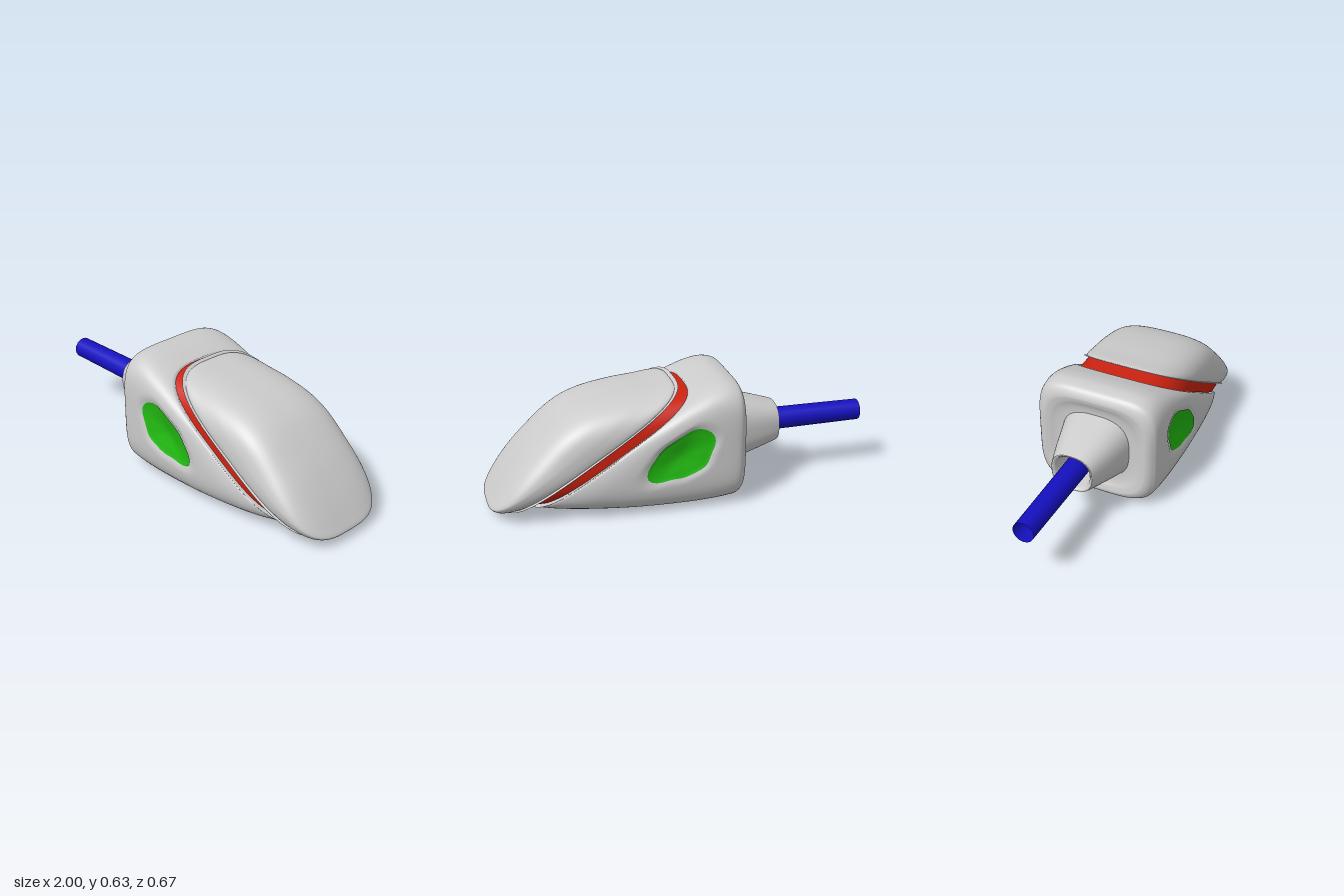
import * as THREE from 'three';

const SEG = 120;
const mat = (color = 0xcccccc) => new THREE.MeshStandardMaterial({ color, side: THREE.DoubleSide });

// Catmull-Rom blend of four numbers
const blend = (a, b, c, d, t) =>
  0.5 * (2 * b + (c - a) * t + (2 * a - 5 * b + 4 * c - d) * t * t + (3 * b - a - 3 * c + d) * t * t * t);

// Skin through slanted rounded-square rings.
// Station: [top x, top y, bottom x, bottom y, half width, squareness]
function loft(stations, sub, adjust = (p) => p) {
  const rings = [];
  const at = (i) => stations[Math.min(Math.max(i, 0), stations.length - 1)];
  for (let s = 0; s < stations.length - 1; s++) {
    for (let k = 0; k < sub; k++) {
      rings.push(at(s).map((v, q) => blend(at(s - 1)[q], v, at(s + 1)[q], at(s + 2)[q], k / sub)));
    }
  }
  rings.push(at(stations.length));

  const pos = [], index = [];
  rings.forEach(([xt, yt, xb, yb, w, n], i) => {
    for (let j = 0; j < SEG; j++) {
      const a = (j / SEG) * Math.PI * 2, c = Math.cos(a), s = Math.sin(a);
      const r = Math.pow(Math.abs(c) ** n + Math.abs(s) ** n, -1 / n);
      const u = c * r;
      const p = new THREE.Vector3((xt + xb) / 2 + (u * (xt - xb)) / 2, (yt + yb) / 2 + (u * (yt - yb)) / 2, w * s * r);
      pos.push(...adjust(p).toArray());
      if (i < rings.length - 1) {
        const A = i * SEG + j, B = i * SEG + ((j + 1) % SEG);
        index.push(A, B, A + SEG, B, B + SEG, A + SEG);
      }
    }
  });
  const g = new THREE.BufferGeometry();
  g.setAttribute('position', new THREE.Float32BufferAttribute(pos, 3));
  g.setIndex(index);
  g.computeVertexNormals();
  return g;
}

// Side window outline: radii every 30 degrees around its centre
const EYE = { x: 0.05, y: 0.31 };
const RADII = [0.15, 0.115, 0.1, 0.115, 0.16, 0.178, 0.137, 0.125, 0.108, 0.113, 0.136, 0.213];
function eyeRadius(a) {
  const f = ((a / (Math.PI * 2) + 2) % 1) * 12, i = Math.floor(f);
  const r = (k) => RADII[(i + k + 12) % 12];
  return blend(r(-1), r(0), r(1), r(2), f - i);
}
// Depth of the dished recess at relative radius r
const dish = (r) =>
  0.014 * (1 - THREE.MathUtils.smoothstep(r, 0.9, 1.22)) + 0.02 * (1 - THREE.MathUtils.smoothstep(r, 0, 1.1));

function dent(p) {
  if (Math.abs(p.z) < 0.3) return p;
  const dx = p.x - EYE.x, dy = p.y - EYE.y;
  p.z -= Math.sign(p.z) * dish(Math.hypot(dx, dy) / eyeRadius(Math.atan2(dy, dx)));
  return p;
}

// Dished window panel for one side
function windowPanel(side) {
  const rows = 10, cols = 60, pos = [], index = [];
  for (let i = 0; i <= rows; i++) {
    for (let j = 0; j < cols; j++) {
      const a = (j / cols) * Math.PI * 2, r = i / rows, R = eyeRadius(a) * r;
      const y = EYE.y + Math.sin(a) * R;
      const v = Math.abs(y - 0.32) / 0.31;
      const z = 0.334 * Math.pow(1 - v ** 4.7, 1 / 4.7) - dish(r) + 0.004;
      pos.push(EYE.x + Math.cos(a) * R, y, z * side);
      if (i < rows) {
        const A = i * cols + j, B = i * cols + ((j + 1) % cols), C = A + cols, D = B + cols;
        if (side > 0) index.push(A, C, B, B, C, D);
        else index.push(A, B, C, B, D, C);
      }
    }
  }
  const g = new THREE.BufferGeometry();
  g.setAttribute('position', new THREE.Float32BufferAttribute(pos, 3));
  g.setIndex(index);
  g.computeVertexNormals();
  return g;
}

export function createModel() {
  const group = new THREE.Group();
  const add = (name, geometry, color) => {
    const mesh = new THREE.Mesh(geometry, mat(color));
    mesh.name = name;
    group.add(mesh);
    return mesh;
  };

  // Rear body, upright at the back and cut on a slant at the front
  add('body', loft([
    [-0.26, 0.32, -0.26, 0.32, 0, 3],
    [-0.262, 0.5, -0.262, 0.14, 0.19, 3],
    [-0.278, 0.56, -0.278, 0.08, 0.255, 3.6],
    [-0.28, 0.585, -0.28, 0.05, 0.285, 4],
    [-0.265, 0.615, -0.255, 0.025, 0.312, 4.4],
    [-0.24, 0.63, -0.2, 0.012, 0.328, 4.6],
    [-0.19, 0.637, 0, 0.003, 0.334, 4.7],
    [-0.13, 0.626, 0.3, 0.01, 0.334, 4.6],
    [-0.07, 0.606, 0.6, 0.03, 0.328, 4],
    [-0.035, 0.592, 0.76, 0.046, 0.312, 3.5],
    [-0.028, 0.583, 0.79, 0.053, 0.298, 3.3],
    [0.0, 0.56, 0.76, 0.07, 0.28, 3.3],
    [0.38, 0.32, 0.38, 0.32, 0, 3.3],
  ], 10, dent));

  // Slanted front cap, domed from the seam to the low tip
  add('noseCap', loft([
    [0.47, 0.325, 0.47, 0.325, 0, 3.3],
    [0.06, 0.592, 0.88, 0.055, 0.28, 3.3],
    [0.04, 0.606, 0.93, 0.037, 0.294, 3.3],
    [0.06, 0.611, 0.975, 0.034, 0.299, 3.3],
    [0.15, 0.6, 0.996, 0.045, 0.3, 3.3],
    [0.28, 0.588, 0.997, 0.06, 0.296, 3.3],
    [0.42, 0.566, 0.975, 0.095, 0.28, 3.3],
    [0.52, 0.538, 0.935, 0.155, 0.25, 3.2],
    [0.6, 0.5, 0.88, 0.23, 0.2, 3],
    [0.66, 0.457, 0.81, 0.315, 0.12, 2.6],
    [0.737, 0.39, 0.737, 0.39, 0, 2.4],
  ], 8));

  // Coloured band in the slanted seam
  add('seamBand', loft([
    [-0.033, 0.583, 0.785, 0.06, 0.29, 3.3],
    [0.07, 0.583, 0.885, 0.064, 0.288, 3.3],
  ], 1), 0xcc2211);

  // Recessed window on each side
  for (const side of [1, -1]) add(side > 0 ? 'frontWindow' : 'backWindow', windowPanel(side), 0x22bb11);

  // Hollow tapered collar around the cable
  add('collar', loft([
    [-0.4, 0.385, -0.4, 0.25, 0.07, 2.5],
    [-0.5, 0.4, -0.5, 0.235, 0.09, 2.5],
    [-0.52, 0.41, -0.52, 0.225, 0.1, 2.5],
    [-0.522, 0.417, -0.522, 0.217, 0.108, 2.5],
    [-0.51, 0.424, -0.51, 0.212, 0.114, 2.6],
    [-0.4, 0.456, -0.4, 0.182, 0.147, 2.7],
    [-0.25, 0.497, -0.25, 0.143, 0.187, 2.8],
  ], 5));

  // Open-ended cable
  const cable = add('cable', new THREE.CylinderGeometry(0.055, 0.06, 0.62, 16, 1, true), 0x1510c0);
  cable.rotation.z = Math.PI / 2;
  cable.position.set(-0.69, 0.318, 0);

  return group;
}
